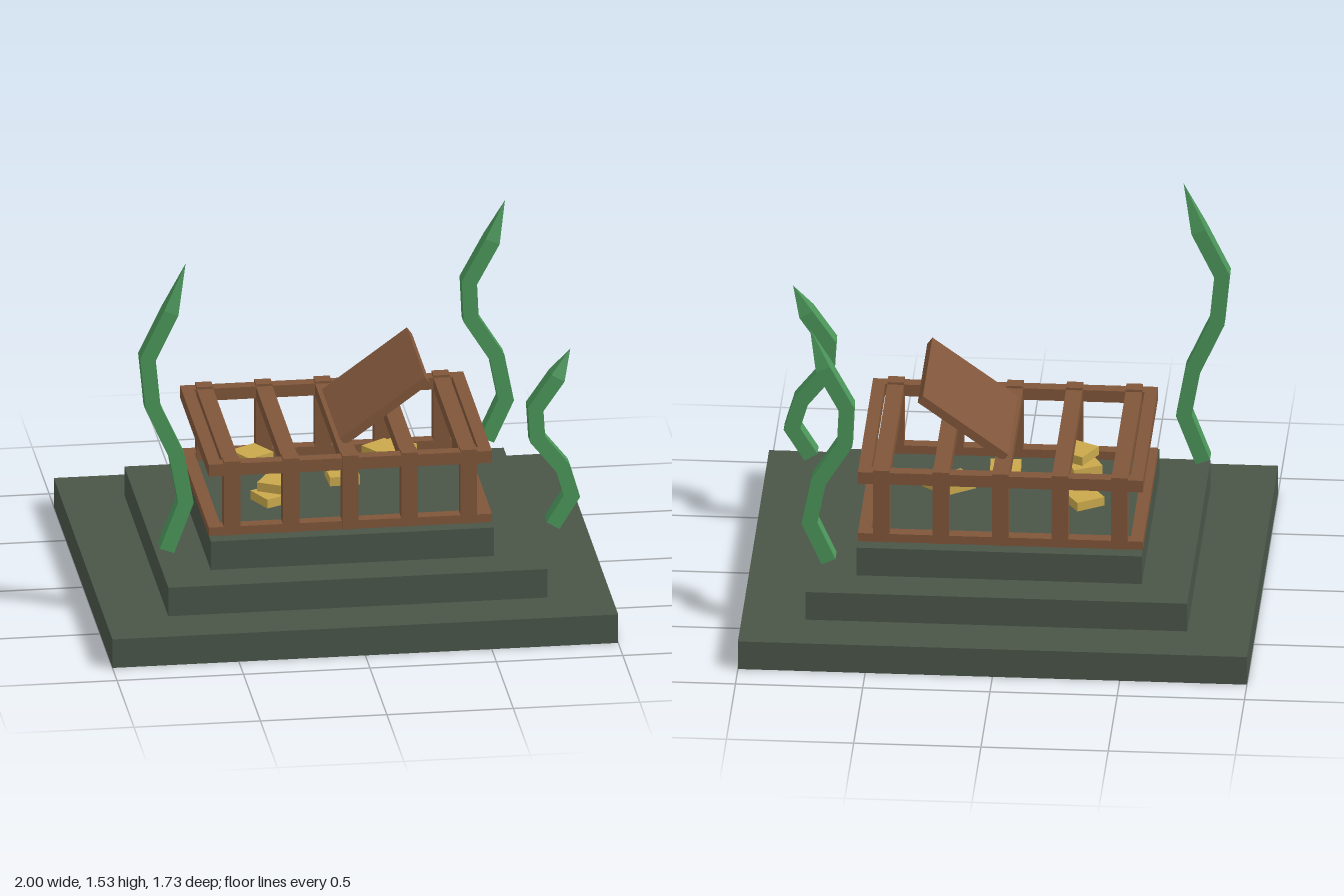
import * as THREE from 'three';

const mat = (name, color) => {
  const m = new THREE.MeshStandardMaterial({ color });
  m.name = name;
  return m;
};

export function createModel() {
  const model = new THREE.Group();
  const stone = mat('mossy stone', 0x4a5548);
  const wood = mat('wood', 0x80563a);
  const gold = mat('gold', 0xc9a84c);
  const kelp = mat('kelp green', 0x4b965a);

  const box = (parent, name, material, [w, h, d], [x, y, z]) => {
    const mesh = new THREE.Mesh(new THREE.BoxGeometry(w, h, d), material);
    mesh.name = name;
    mesh.position.set(x, y, z);
    parent.add(mesh);
    return mesh;
  };
  const group = (name) => {
    const g = new THREE.Group();
    g.name = name;
    model.add(g);
    return g;
  };

  // Stepped stone base
  const base = group('steppedBase');
  [[2, 1.73], [1.5, 1.3], [1.12, 0.97]].forEach(([w, d], i) =>
    box(base, 'step' + (i + 1), stone, [w, 0.12, d], [0, 0.06 + i * 0.12, 0]));

  // Wooden frame: rails all round at the bottom and top, posts and cross beams
  const frame = group('woodenFrame');
  for (const [level, y, h] of [['lower', 0.3775, 0.035], ['upper', 0.635, 0.05]]) {
    for (const s of [-1, 1]) {
      box(frame, level + 'LongRail', wood, [1.12, h, 0.05], [0, y, s * 0.4]);
      box(frame, level + 'SideRail', wood, [0.05, h, 0.75], [s * 0.535, y, 0]);
    }
  }
  for (let i = -2; i <= 2; i++) {
    const x = i * 0.234;
    box(frame, 'crossBeam', wood, [0.065, 0.05, 0.75], [x, 0.635, 0]);
    for (const s of [-1, 1]) {
      box(frame, 'post', wood, [0.065, 0.31, 0.056], [x, 0.515, s * 0.4]);
    }
  }

  // Loose lid propped up at an angle
  const lid = box(model, 'tiltedLid', wood, [0.415, 0.035, 0.53], [0.158, 0.786, 0]);
  lid.rotation.z = 0.628;

  // Gold pieces: x, y, z, turn
  const treasure = group('treasure');
  [
    [-0.31, 0.453, -0.17, 0.55],
    [-0.28, 0.42, 0.19, 0.45],
    [-0.26, 0.475, 0.195, -0.5],
    [0.015, 0.448, 0.077, 0.04],
    [0.2, 0.475, -0.1, 0.6],
    [0.25, 0.475, -0.1, -0.7],
  ].forEach(([x, y, z, turn]) => {
    box(treasure, 'goldPiece', gold, [0.12, 0.037, 0.12], [x, y, z]).rotation.y = turn;
  });

  // Seaweed: square section swept along a zigzag spine, closing to a point
  const seaweed = (name, z, spine) => {
    const pts = spine.map(([x, y]) => new THREE.Vector2(x, y));
    const last = pts.length - 1;
    const rings = pts.slice(0, last).map((p, i) => {
      const b = pts[i + 1].clone().sub(p).normalize();
      const a = i ? p.clone().sub(pts[i - 1]).normalize() : b;
      const t = a.clone().add(b).normalize();
      const r = 0.03 / t.dot(b);
      return [[1, 1], [1, -1], [-1, -1], [-1, 1]].map(([s, k]) =>
        [p.x + t.y * r * s, p.y - t.x * r * s, z + 0.033 * k]);
    });
    const tip = [pts[last].x, pts[last].y, z];
    const [A, B, C, D] = rings[0];
    const tris = [A, D, C, A, C, B];
    rings.forEach((ring, i) => {
      const next = rings[i + 1];
      for (let j = 0; j < 4; j++) {
        const k = (j + 1) % 4;
        if (next) tris.push(ring[j], ring[k], next[k], ring[j], next[k], next[j]);
        else tris.push(ring[j], ring[k], tip);
      }
    });
    const geo = new THREE.BufferGeometry();
    geo.setAttribute('position', new THREE.Float32BufferAttribute(tris.flat(), 3));
    geo.computeVertexNormals();
    const mesh = new THREE.Mesh(geo, kelp);
    mesh.name = name;
    model.add(mesh);
  };
  seaweed('tallSeaweed', 0.465, [[-0.735, 0.335], [-0.66, 0.535], [-0.695, 0.73],
    [-0.79, 0.94], [-0.81, 1.145], [-0.718, 1.335], [-0.657, 1.53]]);
  seaweed('backSeaweed', -0.535, [[0.665, 0.335], [0.74, 0.5], [0.705, 0.68],
    [0.602, 0.845], [0.595, 1.0], [0.687, 1.17], [0.74, 1.33]]);
  seaweed('shortSeaweed', 0.4, [[0.8, 0.335], [0.875, 0.455], [0.84, 0.575],
    [0.74, 0.7], [0.732, 0.828], [0.82, 0.955], [0.873, 1.065]]);

  return model;
}
